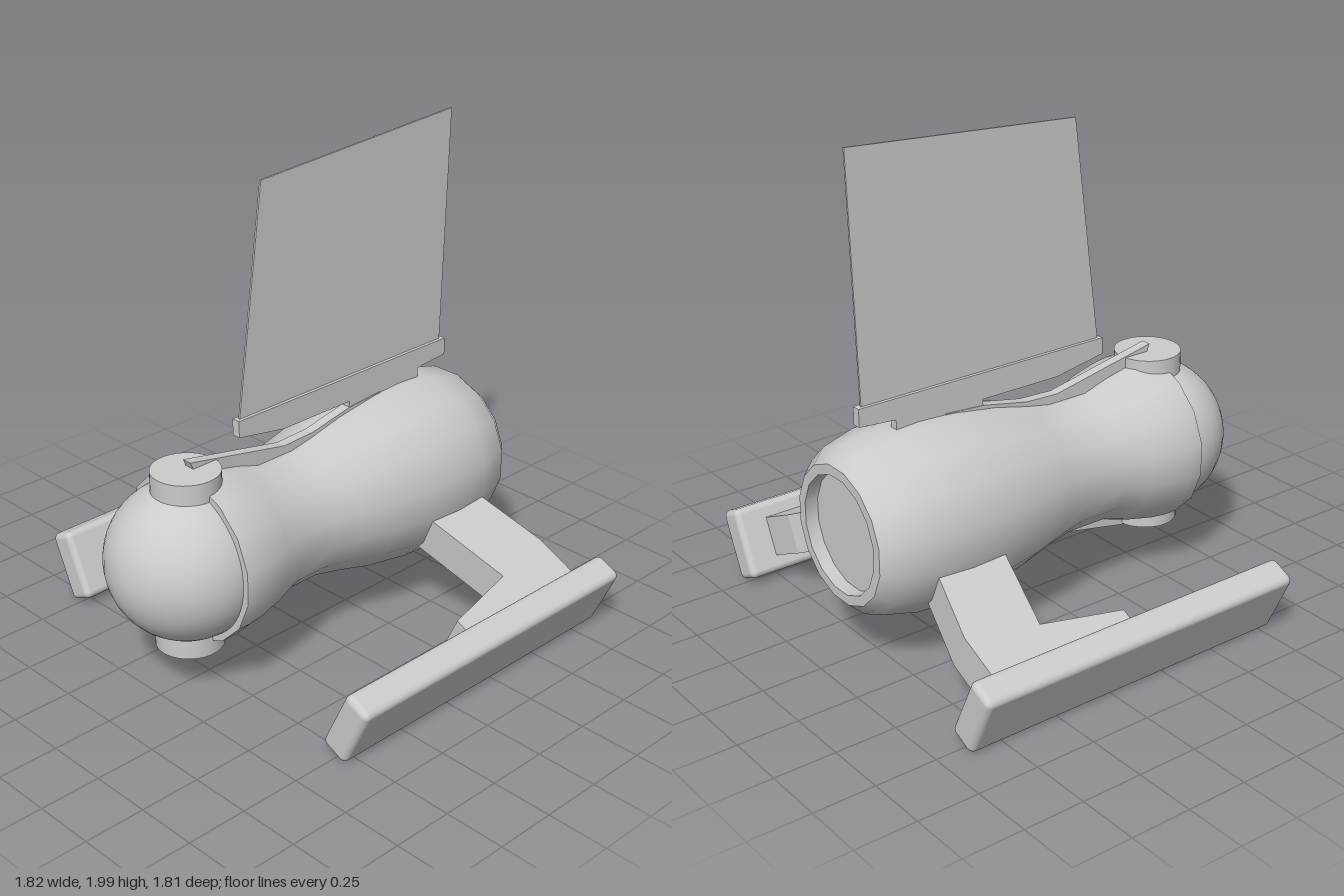
import * as THREE from 'three';
import { toCreasedNormals } from 'three/addons/utils/BufferGeometryUtils.js';
import { RoundedBoxGeometry } from 'three/addons/geometries/RoundedBoxGeometry.js';

const CX = -0.0125, CY = 0.545; // body axis
const TILT = THREE.MathUtils.degToRad(25); // droop of the arms and pontoons
const grey = new THREE.MeshStandardMaterial({ color: 0xcccccc });

function add(parent, name, geometry) {
  const mesh = new THREE.Mesh(geometry, grey);
  mesh.name = name;
  parent.add(mesh);
  return mesh;
}

const shapeOf = (points) => new THREE.Shape(points.map(([a, b]) => new THREE.Vector2(a, b)));

// Plate with a (z, y) outline, extruded to a width centred on x = 0
function sidePlate(points, width) {
  const g = new THREE.ExtrudeGeometry(shapeOf(points), { depth: width, bevelEnabled: false });
  g.translate(0, 0, -width / 2);
  return g.rotateY(-Math.PI / 2);
}

export function createModel() {
  const model = new THREE.Group();
  model.name = 'winged probe';

  // Waisted 16-sided hull with a recessed rear opening
  const profile = [
    [0, -0.85], [0.235, -0.85], [0.235, -0.905], [0.275, -0.905], [0.328, -0.845],
    [0.364, -0.7], [0.373, -0.55], [0.366, -0.4], [0.335, -0.2], [0.298, -0.05],
    [0.276, 0.06], [0.276, 0.24], [0.312, 0.35], [0.336, 0.46], [0.344, 0.53],
    [0.344, 0.585], [0.3, 0.585],
  ].map(([r, z]) => new THREE.Vector2(r, z));
  const hull = new THREE.LatheGeometry(profile, 16, Math.PI / 16);
  hull.rotateX(Math.PI / 2);
  add(model, 'hull', toCreasedNormals(hull, 0.6)).position.set(CX, CY, 0);

  // Ball nose with a pivot pin through it
  add(model, 'noseBall', new THREE.SphereGeometry(0.315, 40, 28)).position.set(CX, CY, 0.59);
  add(model, 'nosePivot', new THREE.CylinderGeometry(0.135, 0.135, 0.74, 40)).position.set(CX, CY, 0.582);

  // Pointed straps along the spine and the belly, heights relative to the axis
  const strap = [
    [0.575, 0.4], [0.56, 0.365], [0.46, 0.3], [0.24, 0.25], [0, 0.25],
    [-0.43, 0.33], [-0.43, 0.365], [-0.25, 0.352], [-0.05, 0.312], [0.1, 0.306],
  ];
  for (const [name, s] of [['spineStrap', 1], ['bellyStrap', -1]]) {
    const outline = strap.map(([z, y]) => [z, y * s]);
    add(model, name, sidePlate(outline, 0.042)).position.set(CX, CY, 0);
  }

  // Fin root rail and the tall thin fin
  const rail = [
    [0.33, 1.03], [0.33, 0.962], [0.1, 0.922], [-0.255, 0.922], [-0.255, 0.87],
    [-0.65, 0.87], [-0.65, 0.945], [-0.81, 0.958], [-0.81, 1.03],
  ];
  add(model, 'finRail', sidePlate(rail, 0.036)).position.x = CX;
  const fin = [[0.315, 1.02], [0.195, 1.94], [-0.82, 2], [-0.79, 1.02]];
  add(model, 'fin', sidePlate(fin, 0.008)).position.x = CX;

  // Drooping arms carrying tilted pontoons; plan points are (x, z) of the arm's top face
  const plan = [
    [0.2, -0.66], [0.6, -0.765], [0.79, -0.765], [0.79, -0.13], [0.72, -0.13],
    [0.655, -0.47], [0.2, -0.365],
  ];
  for (const [side, s] of [['left', 1], ['right', -1]]) {
    const wing = new THREE.Group();
    wing.name = side + 'Wing';
    model.add(wing);

    const outline = plan.map(([x, z]) => [s * (x - 0.714) / Math.cos(TILT), z]);
    const armGeometry = new THREE.ExtrudeGeometry(shapeOf(outline), { depth: 0.16, bevelEnabled: false });
    armGeometry.rotateX(Math.PI / 2);
    const arm = add(wing, side + 'Arm', armGeometry);
    arm.position.set(s * 0.714, 0.285, 0);
    arm.rotation.z = -s * TILT;

    const pontoon = add(wing, side + 'Pontoon', new RoundedBoxGeometry(0.122, 0.29, 1.45, 3, 0.026));
    pontoon.position.set(s * 0.8, 0.157, -0.165);
    pontoon.rotation.z = -s * TILT;
  }
  return model;
}
